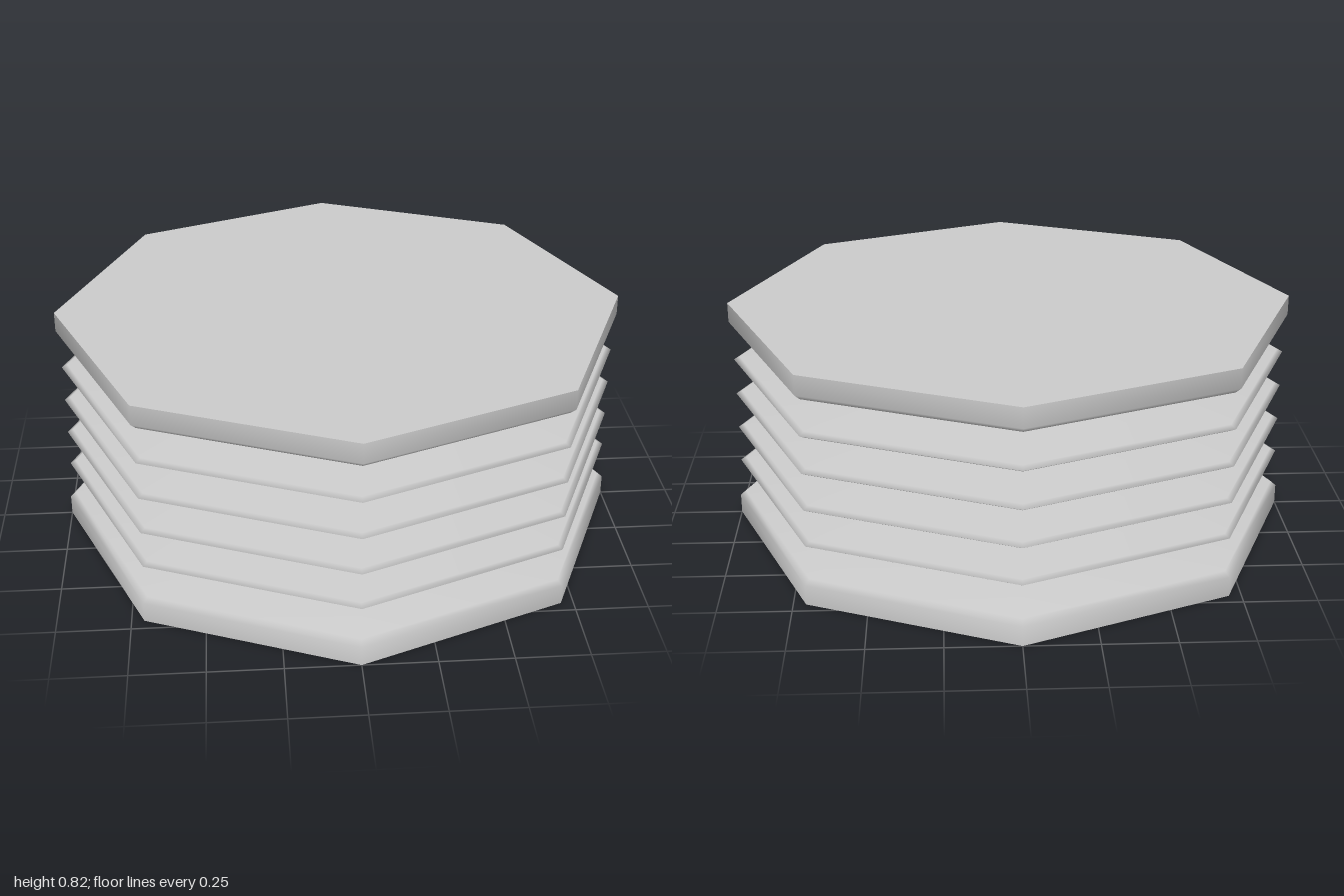
import * as THREE from 'three';

const SIDES = 8;
const HEIGHT = 0.82;
const PITCH = 0.1315;   // spacing of the bellows folds
const FOLDS = 4;

export function createModel() {
  const group = new THREE.Group();
  group.name = 'bellows';
  const material = new THREE.MeshStandardMaterial({ color: 0xcccccc });

  // Profile from the bottom rim to the top rim, as [radius, height]
  const profile = [[1, 0], [1, 0.07], [0.98, 0.088], [0.69, 0.126]];

  // Each groove is followed by a sharp fold, apart from the last one
  for (let i = 0; i <= FOLDS; i++) {
    const groove = HEIGHT / 2 + (i - FOLDS / 2) * PITCH;
    profile.push([0.62, groove - 0.014], [0.605, groove], [0.62, groove + 0.014]);
    if (i === FOLDS) break;
    const tip = groove + PITCH / 2;
    profile.push(
      [0.69, tip - 0.036], [0.97, tip - 0.011],
      [0.99, tip],
      [0.97, tip + 0.011], [0.69, tip + 0.036],
    );
  }
  profile.push([0.69, HEIGHT - 0.126], [0.98, HEIGHT - 0.088], [1, HEIGHT - 0.07], [1, HEIGHT]);

  // Folded wall with both end rims
  const points = profile.map(([r, y]) => new THREE.Vector2(r, y));
  const wall = new THREE.Mesh(new THREE.LatheGeometry(points, SIDES), material);
  wall.name = 'foldedWall';
  group.add(wall);

  // Flat end plates
  for (const [name, y, turn] of [['topPlate', HEIGHT, -1], ['bottomPlate', 0, 1]]) {
    const plate = new THREE.Mesh(new THREE.CircleGeometry(1, SIDES), material);
    plate.name = name;
    plate.rotation.x = turn * Math.PI / 2;
    plate.position.y = y;
    group.add(plate);
  }
  return group;
}
